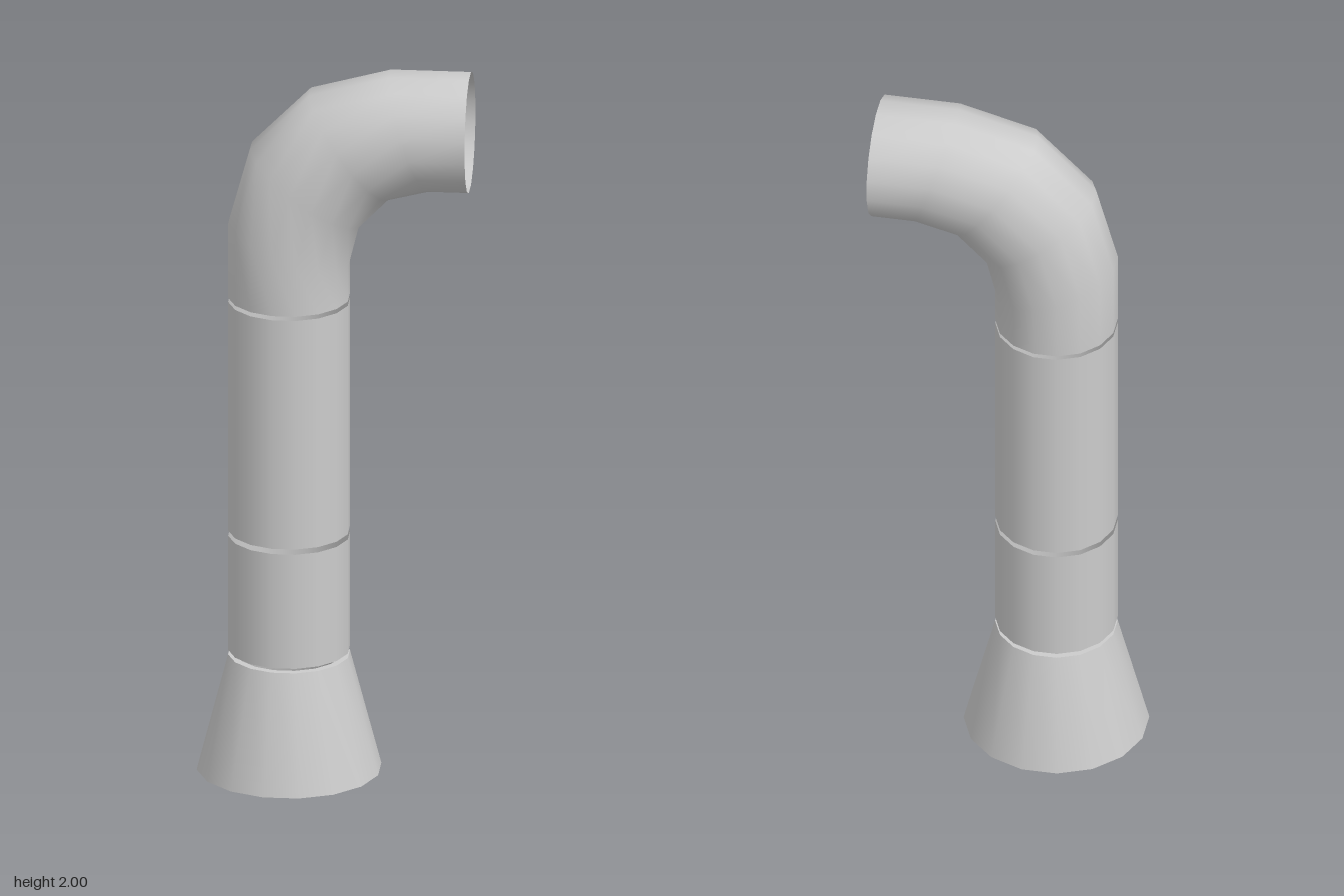
import * as THREE from 'three';
import { toCreasedNormals } from 'three/addons/utils/BufferGeometryUtils.js';

const SIDES = 16;
const HALF = Math.PI / SIDES; // half a facet, so flats face the axes
const R = 0.165;              // pipe radius
const AXIS_X = -0.123;        // centre line of the upright pipe

const material = new THREE.MeshStandardMaterial({ color: 0xcccccc, side: THREE.DoubleSide });

function addPart(group, name, geometry) {
  const mesh = new THREE.Mesh(geometry, material);
  mesh.name = name;
  group.add(mesh);
  return mesh;
}

// Thick-walled flared foot
function flareGeometry() {
  const wall = 0.02;
  const profile = [[0.25, 0], [R, 0.328], [R - wall, 0.328], [0.25 - wall, 0], [0.25, 0]]
    .map(([r, y]) => new THREE.Vector2(r, y));
  return toCreasedNormals(new THREE.LatheGeometry(profile, SIDES, HALF), Math.PI / 4);
}

// Open straight pipe between two heights
function pipeGeometry(y0, y1) {
  return new THREE.CylinderGeometry(R, R, y1 - y0, SIDES, 1, true, HALF)
    .translate(0, (y0 + y1) / 2, 0);
}

// Mitred elbow: each ring spans from the outer to the inner edge of the bend
function elbowGeometry() {
  const rings = [ // outer x, outer y, inner x, inner y
    [-0.285, 1.353, 0.039, 1.353],
    [-0.285, 1.565, 0.039, 1.45],
    [-0.226, 1.78, 0.068, 1.567],
    [-0.066, 1.941, 0.147, 1.648],
    [0.15, 2.0, 0.256, 1.676],
    [0.366, 2.0, 0.366, 1.676],
  ];
  const positions = [], index = [];
  const flat = Math.cos(HALF);
  rings.forEach(([ox, oy, ix, iy], i) => {
    for (let j = 0; j < SIDES; j++) {
      const a = HALF + j * 2 * HALF;
      const k = Math.cos(a) / flat / 2;
      positions.push((ox + ix) / 2 + (ox - ix) * k, (oy + iy) / 2 + (oy - iy) * k, R * Math.sin(a));
      if (i < rings.length - 1) {
        const n = (j + 1) % SIDES;
        const p = i * SIDES + j, q = i * SIDES + n;
        index.push(p, q, p + SIDES, q, q + SIDES, p + SIDES);
      }
    }
  });
  const geometry = new THREE.BufferGeometry();
  geometry.setAttribute('position', new THREE.Float32BufferAttribute(positions, 3));
  geometry.setIndex(index);
  geometry.computeVertexNormals();
  return geometry;
}

export function createModel() {
  const model = new THREE.Group();
  model.name = 'ventPipe';

  // Upright sections, separated by narrow gaps
  addPart(model, 'flaredBase', flareGeometry()).position.x = AXIS_X;
  addPart(model, 'shortPipe', pipeGeometry(0.341, 0.669)).position.x = AXIS_X;
  addPart(model, 'longPipe', pipeGeometry(0.684, 1.341)).position.x = AXIS_X;

  // Bend with its open mouth toward +x
  addPart(model, 'elbow', elbowGeometry());
  return model;
}
